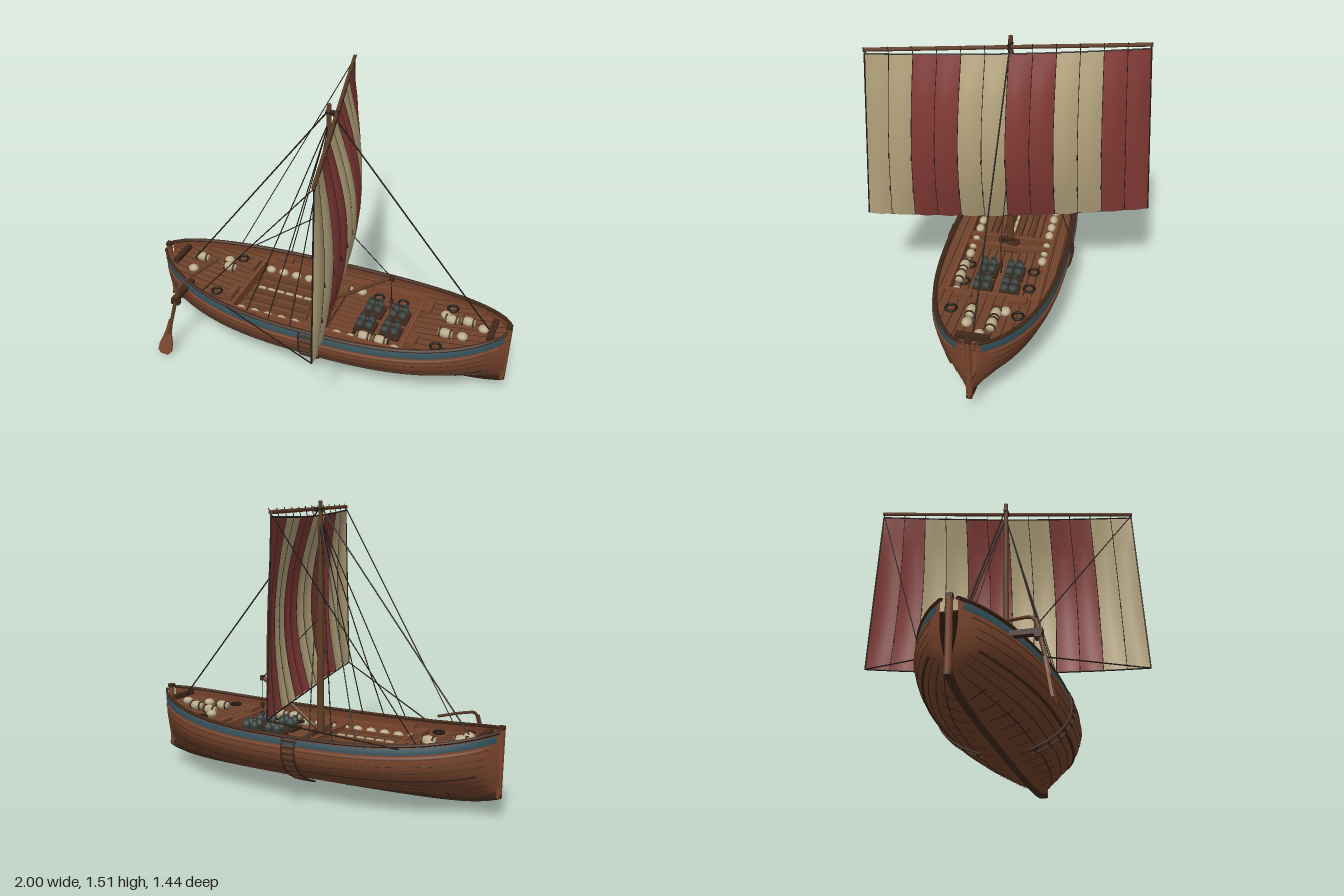
import * as THREE from 'three';

const mat = (name, color) => {
  const m = new THREE.MeshStandardMaterial({ color, side: THREE.DoubleSide });
  m.name = name;
  return m;
};
const V = (x, y, z) => new THREE.Vector3(x, y, z);
const lerp = THREE.MathUtils.lerp;

// Hull lines: half-width in plan, rail height, keel height, section fullness
const halfWidth = x => 0.328 * Math.pow(Math.max(0, 1 - Math.pow(Math.abs(x), 2.6)), 0.65);
const rimY = x => 0.355 + 0.09 * Math.pow(Math.abs(x), 2.8);
const keelY = x => 0.065 + 0.02 * x * x + 0.045 * Math.pow(Math.abs(x), 8);
const fullness = s => s < 0.75
  ? Math.pow(1 - Math.pow(1 - s / 0.75, 2), 0.65)
  : 1 - 0.04 * Math.pow((s - 0.75) / 0.25, 2);
const hullPoint = (x, s, side, off = 0) => {
  const f = Math.pow(fullness(s), 1 + 0.8 * Math.pow(Math.abs(x), 3));
  return V(x, lerp(keelY(x), rimY(x), s) - off * (1 - s) * 0.8, side * (halfWidth(x) * f + off));
};

// Grid surface from fn(u, v) -> Vector3
function surface(fn, nu, nv) {
  const pos = [], idx = [];
  for (let i = 0; i <= nu; i++) for (let j = 0; j <= nv; j++) pos.push(...fn(i / nu, j / nv).toArray());
  for (let i = 0; i < nu; i++) for (let j = 0; j < nv; j++) {
    const a = i * (nv + 1) + j, b = a + nv + 1;
    idx.push(a, b, a + 1, b, b + 1, a + 1);
  }
  const g = new THREE.BufferGeometry();
  g.setAttribute('position', new THREE.Float32BufferAttribute(pos, 3));
  g.setIndex(idx);
  g.computeVertexNormals();
  return g;
}

export function createModel() {
  const ship = new THREE.Group();
  ship.name = 'sailingShip';
  const hullWood = mat('hull wood', 0x7a462d), deckWood = mat('deck wood', 0x71432c);
  const darkWood = mat('dark wood', 0x402719), spar = mat('spar wood', 0x5f3b25);
  const rope = mat('rope', 0x221c16), blue = mat('blue paint', 0x34505a);
  const cream = mat('cream cloth', 0xb3a27b), red = mat('red cloth', 0x81393400 >> 8 & 0xffffff);
  red.color.set(0x813934);
  const sackCloth = mat('sack cloth', 0xb9ab8a), clay = mat('grey clay', 0x3d4642);

  const add = (name, geo, m, x = 0, y = 0, z = 0) => {
    const mesh = new THREE.Mesh(geo, m);
    mesh.name = name;
    mesh.position.set(x, y, z);
    ship.add(mesh);
    return mesh;
  };
  const box = (name, m, w, h, d, x, y, z) => add(name, new THREE.BoxGeometry(w, h, d), m, x, y, z);
  const rod = (name, a, b, r, m, r2 = r, n = 6) => {
    const mesh = add(name, new THREE.CylinderGeometry(r2, r, a.distanceTo(b), n), m);
    mesh.position.copy(a).lerp(b, 0.5);
    mesh.quaternion.setFromUnitVectors(V(0, 1, 0), b.clone().sub(a).normalize());
    return mesh;
  };
  const tube = (name, pts, r, m, n = 16) =>
    add(name, new THREE.TubeGeometry(new THREE.CatmullRomCurve3(pts), n, r, 6), m);

  // Hull shell, strakes, seams and rail, mirrored
  const strake = (name, s0, s1, off, m, side, xe = 0.975) => {
    const prof = [[s0, 0], [s0, off], [s1, off], [s1, 0]];
    add(name, surface((u, v) => {
      const [s, o] = prof[Math.round(v * 3)];
      return hullPoint(lerp(-xe, xe, u), s, side, o);
    }, 50, 3), m);
  };
  for (const side of [1, -1]) {
    add('hullSide', surface((u, v) => hullPoint(lerp(-0.985, 0.985, u), Math.pow(v, 1.6), side), 60, 16), hullWood);
    strake('paintedStripe', 0.86, 0.96, 0.005, blue, side);
    strake('upperWale', 0.78, 0.825, 0.008, hullWood, side, 0.95);
    strake('lowerWale', 0.4, 0.43, 0.007, darkWood, side, 0.9);
    for (const s of [0.12, 0.22, 0.32, 0.55, 0.66]) strake('plankSeam', s, s + 0.008, 0.002, darkWood, side, 0.93);
    add('rail', surface((u, v) => {
      const x = lerp(-0.985, 0.985, u), a = v * Math.PI * 2;
      return V(x, rimY(x) + 0.009 * Math.sin(a), side * (halfWidth(x) * 0.96 + 0.012 * Math.cos(a)));
    }, 50, 8), darkWood);
    // Bilge cleats
    for (let i = -6; i <= 6; i++) add('bilgeCleat', surface((u, v) =>
      hullPoint(i * 0.125 + (u - 0.5) * 0.01, lerp(0.03, 0.16, v), side, 0.006), 1, 4), darkWood);
    // Boarding ladder
    for (const x of [-0.037, 0.037])
      tube('ladderRail', [0.08, 0.2, 0.4, 0.6, 0.8, 1].map(s => hullPoint(x, s, side, 0.012)), 0.006, darkWood);
    for (let i = 0; i < 9; i++) {
      const s = 0.1 + i * 0.105;
      rod('ladderRung', hullPoint(-0.037, s, side, 0.012), hullPoint(0.037, s, side, 0.012), 0.006, darkWood);
    }
  }

  // Keel and stem posts
  const keelProf = [[0.012, 0.02], [0.012, -0.018], [-0.012, -0.018], [-0.012, 0.02]];
  add('keel', surface((u, v) => {
    const x = lerp(-0.98, 0.98, u), [z, y] = keelProf[Math.round(v * 3)];
    return V(x, keelY(x) + y, z);
  }, 40, 3), darkWood);
  for (const e of [1, -1]) {
    rod('stemPost', V(e * 0.976, 0.11, 0), V(e * 0.984, 0.45, 0), 0.016, hullWood, 0.016, 8);
    box('stemHead', darkWood, 0.03, 0.02, 0.03, e * 0.982, 0.455, 0);
    box('stemFoot', darkWood, 0.03, 0.02, 0.026, e * 0.975, 0.118, 0);
  }

  // Decks: planks over a dark base, leaving the hold open amidships
  const deckY = x => rimY(x) - 0.045, edge = x => halfWidth(x) * 0.96 - 0.004;
  const deckStrip = (name, x0, x1, z0, z1, dy, m) => add(name, surface((u, v) => {
    const x = lerp(x0, x1, u), e = edge(x);
    return V(x, deckY(x) + dy, THREE.MathUtils.clamp(lerp(z0, z1, v), -e, e));
  }, 20, 1), m);
  const decks = [[-0.97, -0.48, -0.33, 0.33], [0.48, 0.97, -0.33, 0.33], [-0.48, 0.48, 0.23, 0.33], [-0.48, 0.48, -0.33, -0.23]];
  for (const [x0, x1, z0, z1] of decks) {
    deckStrip('deckBase', x0, x1, z0, z1, -0.004, darkWood);
    for (let z = z0; z < z1 - 0.01; z += 0.044) deckStrip('deckPlank', x0, x1, z, Math.min(z + 0.039, z1), 0, deckWood);
  }
  box('holdFloor', darkWood, 0.96, 0.01, 0.46, 0, 0.262, 0);
  for (let i = 0; i < 11; i++) box('holdPlank', deckWood, 0.96, 0.006, 0.034, 0, 0.269, (i - 5) * 0.041);
  for (const s of [1, -1]) {
    box('coamingSide', hullWood, 0.98, 0.065, 0.014, 0, 0.295, s * 0.23);
    box('coamingEnd', hullWood, 0.014, 0.065, 0.46, s * 0.48, 0.3, 0);
    box('holdBeam', deckWood, 0.03, 0.03, 0.46, s * 0.04, 0.3, 0);
    box('sideBench', deckWood, 0.1, 0.03, 0.035, -0.38, 0.325, s * 0.265);
    box('sideBench', deckWood, 0.05, 0.03, 0.09, 0.52, 0.335, s * 0.14);
    box('sternBench', deckWood, 0.04, 0.03, 0.1, -0.52, 0.335, s * 0.14);
    // Breast hooks and rope coils
    box('breastHook', darkWood, 0.03, 0.025, 0.16, s * 0.9, 0.41, 0);
    for (const [x, z, y] of [[0.65, 0.165, 0.35], [-0.6, 0.165, 0.345], [0.23, 0.17, 0.3], [0.37, 0.17, 0.3]])
      add('ropeCoil', new THREE.TorusGeometry(0.027, 0.007, 6, 16), rope, x, y, s * z).rotation.x = Math.PI / 2;
    // Sacks along the hold
    for (let i = 0; i < 12; i++) {
      if (s < 0 && i > 7) continue;
      add('sack', new THREE.SphereGeometry(0.026, 10, 8), sackCloth, -0.44 + i * 0.08, 0.29, s * 0.195).scale.set(1.1, 0.8, 0.9);
    }
    // Clay jars in crates
    for (const x of [0.24, 0.38]) {
      box('jarCrate', darkWood, 0.11, 0.02, 0.1, x, 0.28, s * 0.07);
      for (const dx of [-0.026, 0.026]) for (const dz of [-0.023, 0.023]) {
        const prof = [[0, 0], [0.012, 0.005], [0.022, 0.03], [0.02, 0.045], [0.009, 0.055], [0.013, 0.065]];
        add('clayJar', new THREE.LatheGeometry(prof.map(p => new THREE.Vector2(...p)), 10), clay, x + dx, 0.285, s * 0.07 + dz);
      }
    }
  }

  // Timber stacked in the after hold
  for (let i = -4; i <= 4; i++)
    box('timber', i % 2 ? spar : deckWood, 0.4 - Math.abs(i % 3) * 0.03, 0.03, 0.02, -0.26, 0.29, i * 0.034);
  for (let i = 0; i < 6; i++) box('paleTimber', sackCloth, 0.04, 0.008, 0.014, -0.4 + i * 0.055, 0.308, 0);

  // Barrels and loose sacks on the end decks
  const barrel = (x, z, y = deckY(x) + 0.024) => {
    const prof = [[0, -0.036], [0.02, -0.036], [0.026, 0], [0.02, 0.036], [0, 0.036]];
    add('barrel', new THREE.LatheGeometry(prof.map(p => new THREE.Vector2(...p)), 12), sackCloth, x, y, z).rotation.z = Math.PI / 2;
    for (const d of [-0.028, 0.028])
      add('barrelHoop', new THREE.CylinderGeometry(0.025, 0.025, 0.009, 12), darkWood, x + d, y, z).rotation.z = Math.PI / 2;
  };
  for (const [x, z] of [[-0.8, -0.05], [-0.63, -0.05], [0.67, -0.06], [0.67, 0.06], [0.76, -0.06]]) barrel(x, z);
  for (const x of [0.27, 0.36]) barrel(x, 0.19, 0.32);
  for (const [x, z] of [[-0.8, 0.06], [-0.66, -0.11], [0.76, 0.06], [0.85, -0.02], [0.63, -0.1]])
    add('looseSack', new THREE.SphereGeometry(0.026, 10, 8), sackCloth, x, deckY(x) + 0.017, z).scale.set(1.1, 0.8, 1);

  // Mast and yard
  rod('mast', V(0, 0.26, 0), V(0, 1.51, 0), 0.021, spar, 0.011, 10);
  box('mastStep', darkWood, 0.09, 0.05, 0.09, 0, 0.29, 0);
  const yardX = z => 0.04 + z * 0.245;
  rod('yard', V(yardX(0.67), 1.468, 0.67), V(yardX(-0.67), 1.468, -0.67), 0.01, spar, 0.01, 8);
  rod('yardParrel', V(-0.015, 1.468, 0), V(0.05, 1.468, 0), 0.013, rope);

  // Striped, wind-filled sail
  const sailPoint = (u, v) => {
    const c = Math.sin(Math.PI * u);
    const bulge = 0.105 * Math.pow(Math.max(c, 0), 0.8) * Math.sin(Math.PI * v * 0.92);
    const puff = 0.012 * Math.abs(Math.sin(12 * Math.PI * u)) * Math.min(1, v * 5);
    return V(0.04 + 0.163 * (1 - 2 * u) + bulge + puff,
      lerp(1.447, 0.543, v) - 0.014 * c, lerp(0.665, 0.715, v) * (1 - 2 * u));
  };
  const across = v => Array.from({ length: 13 }, (_, i) => sailPoint(i / 12, v));
  const down = u => Array.from({ length: 9 }, (_, i) => sailPoint(u, i / 8));
  for (let i = 0; i < 12; i++)
    add('sailStrip', surface((u, v) => sailPoint((i + u) / 12, v), 6, 20), Math.floor(i / 2) % 2 ? red : cream);
  for (let i = 0; i <= 12; i++) {
    tube('sailSeam', down(i / 12), i % 12 ? 0.0018 : 0.004, rope);
    const top = sailPoint(i / 12, 0), z = top.z;
    rod('yardLashing', top, V(yardX(z) + 0.012, 1.485, z), 0.002, rope);
    if (i % 12) for (const v of [0.58, 0.8]) rod('reefPoint', sailPoint(i / 12, v), sailPoint(i / 12, v + 0.03).add(V(0.006, 0, 0)), 0.004, rope);
  }
  tube('headRope', across(0), 0.004, rope, 36);
  tube('footRope', across(1), 0.004, rope, 36);

  // Standing and running rigging
  const line = (name, a, b, r = 0.0028) => rod(name, a, b, r, rope, r, 5);
  line('forestay', V(0, 1.48, 0), V(0.88, 0.41, 0), 0.004);
  line('backstay', V(0, 1.48, 0), V(-0.82, 0.4, 0), 0.004);
  for (const s of [1, -1]) {
    for (const x of [-0.36, -0.23, -0.1]) line('shroud', V(0, 1.42, 0), V(x, 0.35, s * 0.3), 0.003);
    line('yardBrace', V(yardX(s * 0.665), 1.46, s * 0.665), V(-0.65, 0.38, s * 0.24));
    line('sheet', sailPoint(s > 0 ? 0 : 1, 1), V(s > 0 ? -0.48 : -0.58, 0.365, s * 0.29), 0.0035);
  }

  // Cargo boom with hanging hook
  rod('cargoBoom', V(0.02, 0.34, -0.02), V(0.345, 0.57, -0.02), 0.012, spar, 0.009, 8);
  line('boomLift', V(0.345, 0.57, -0.02), V(0, 0.92, 0), 0.0025);
  line('boomFall', V(0.345, 0.57, -0.02), V(0.348, 0.38, -0.02), 0.0025);
  box('boomBlock', darkWood, 0.022, 0.025, 0.022, 0.345, 0.567, -0.02);
  box('fallBlock', darkWood, 0.016, 0.03, 0.016, 0.348, 0.415, -0.02);
  add('hook', new THREE.TorusGeometry(0.011, 0.003, 5, 10, 4.5), rope, 0.348, 0.37, -0.02);

  // Steering oar on its outrigger beam, with a curved tiller
  box('oarBeam', darkWood, 0.035, 0.025, 0.2, -0.765, 0.355, 0.245);
  box('oarBracket', darkWood, 0.045, 0.03, 0.03, -0.765, 0.34, 0.325);
  rod('oarShaft', V(-0.752, 0.42, 0.312), V(-0.8, 0.14, 0.378), 0.011, spar, 0.009, 8);
  tube('tiller', [V(-0.755, 0.4, 0.315), V(-0.745, 0.435, 0.295), V(-0.715, 0.45, 0.22), V(-0.645, 0.463, 0.04)], 0.008, spar);
  const blade = new THREE.Shape([[-0.012, 0.23], [-0.02, 0.15], [-0.042, 0.06], [-0.043, 0.015], [-0.02, 0], [0.02, 0.005], [0.036, 0.03], [0.034, 0.08], [0.014, 0.15], [0.01, 0.23]].map(p => new THREE.Vector2(...p)));
  const oar = add('oarBlade', new THREE.ExtrudeGeometry(blade, { depth: 0.012, bevelEnabled: false }), hullWood, -0.826, 0.002, 0.396);
  oar.rotation.set(-0.2, 0, -0.16);
  return ship;
}
